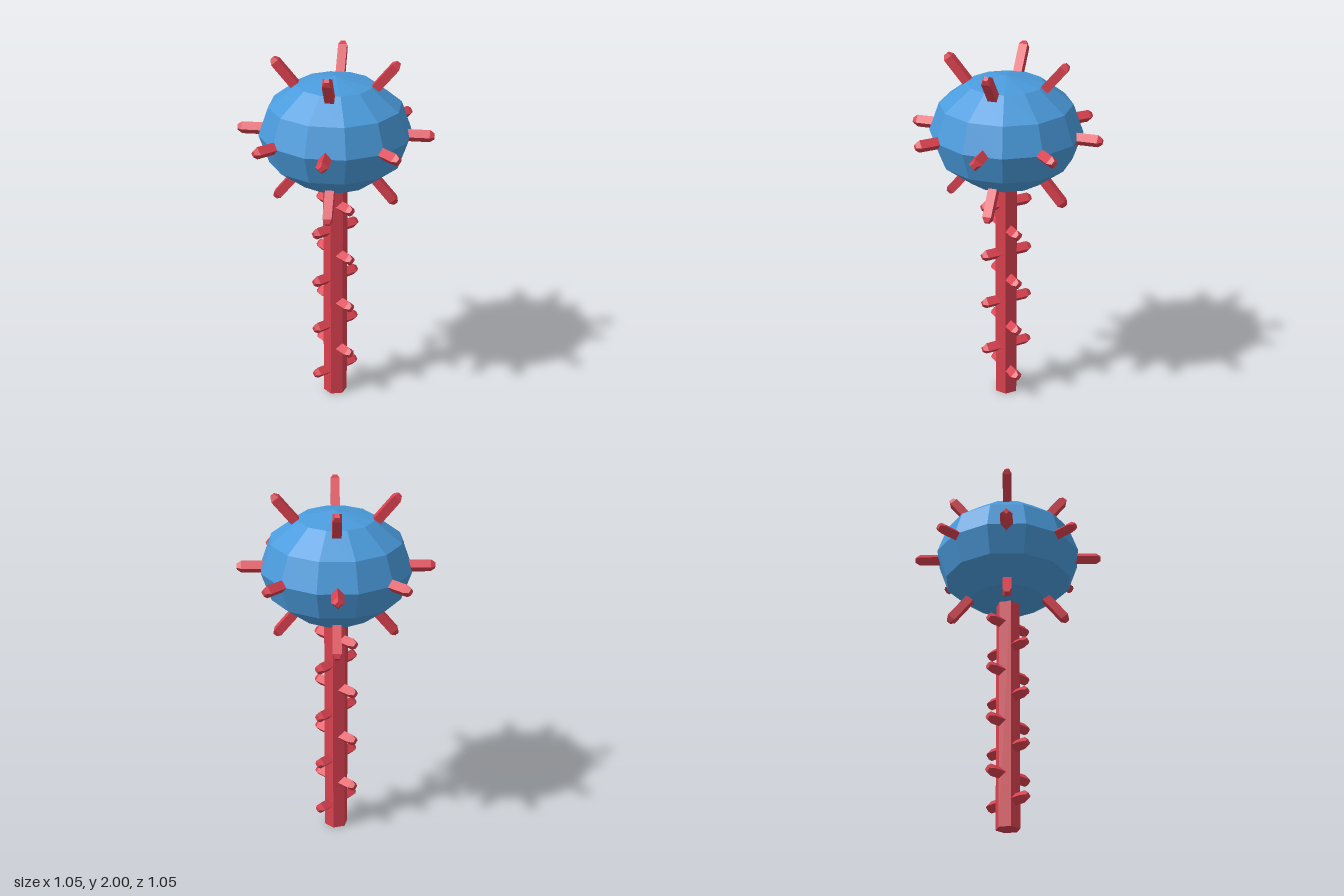
import * as THREE from 'three';

const red = new THREE.MeshStandardMaterial({ color: 0xd9414f, flatShading: true });
const blue = new THREE.MeshStandardMaterial({ color: 0x4a9bdc, flatShading: true });

// Four-sided spike with a blunt bevelled tip, pointing outward from the axis
function spike(name, { start, end, y, azimuth, elevation = 0, twist = 0 }) {
  const r = 0.034;
  const profile = [[0, start], [r, start], [r, end - 0.024], [0.017, end], [0, end]]
    .map(([x, h]) => new THREE.Vector2(x, h));
  const geometry = new THREE.LatheGeometry(profile, 4)
    .rotateY(twist)
    .rotateZ(elevation - Math.PI / 2)
    .rotateY(azimuth);
  const mesh = new THREE.Mesh(geometry, red);
  mesh.name = name;
  mesh.position.y = y;
  return mesh;
}

export function createModel() {
  const model = new THREE.Group();
  model.name = 'spikedMace';
  const headY = 1.6;

  // Hexagonal handle
  const handle = new THREE.Mesh(new THREE.CylinderGeometry(0.067, 0.067, 1.34, 6), red);
  handle.name = 'handle';
  handle.position.y = 0.67;
  model.add(handle);

  // Flattened faceted head
  const head = new THREE.Mesh(new THREE.SphereGeometry(0.41, 12, 6).scale(1, 0.755, 1), blue);
  head.name = 'head';
  head.position.y = headY;
  model.add(head);

  // Pairs of handle spikes, alternating between side-to-side and front-to-back
  const handleSpikes = new THREE.Group();
  handleSpikes.name = 'handleSpikes';
  for (let i = 0; i < 8; i++) {
    for (const side of [0, Math.PI]) {
      handleSpikes.add(spike('handleSpike', {
        start: 0, end: 0.15, y: 0.15 + i * 0.1475, azimuth: side + (i % 2) * Math.PI / 2,
      }));
    }
  }
  model.add(handleSpikes);

  // Head spikes: a ring of eight, plus four slanting up and four slanting down
  const headSpikes = new THREE.Group();
  headSpikes.name = 'headSpikes';
  for (let i = 0; i < 8; i++) {
    const azimuth = i * Math.PI / 4;
    headSpikes.add(spike('ringSpike', { start: 0.25, end: 0.527, y: headY, azimuth }));
    if (i % 2 === 0) continue;
    for (const sign of [1, -1]) {
      headSpikes.add(spike('slantedSpike', {
        start: 0.22, end: 0.515, y: headY, azimuth,
        elevation: sign * THREE.MathUtils.degToRad(50), twist: Math.PI / 4,
      }));
    }
  }
  model.add(headSpikes);

  return model;
}
